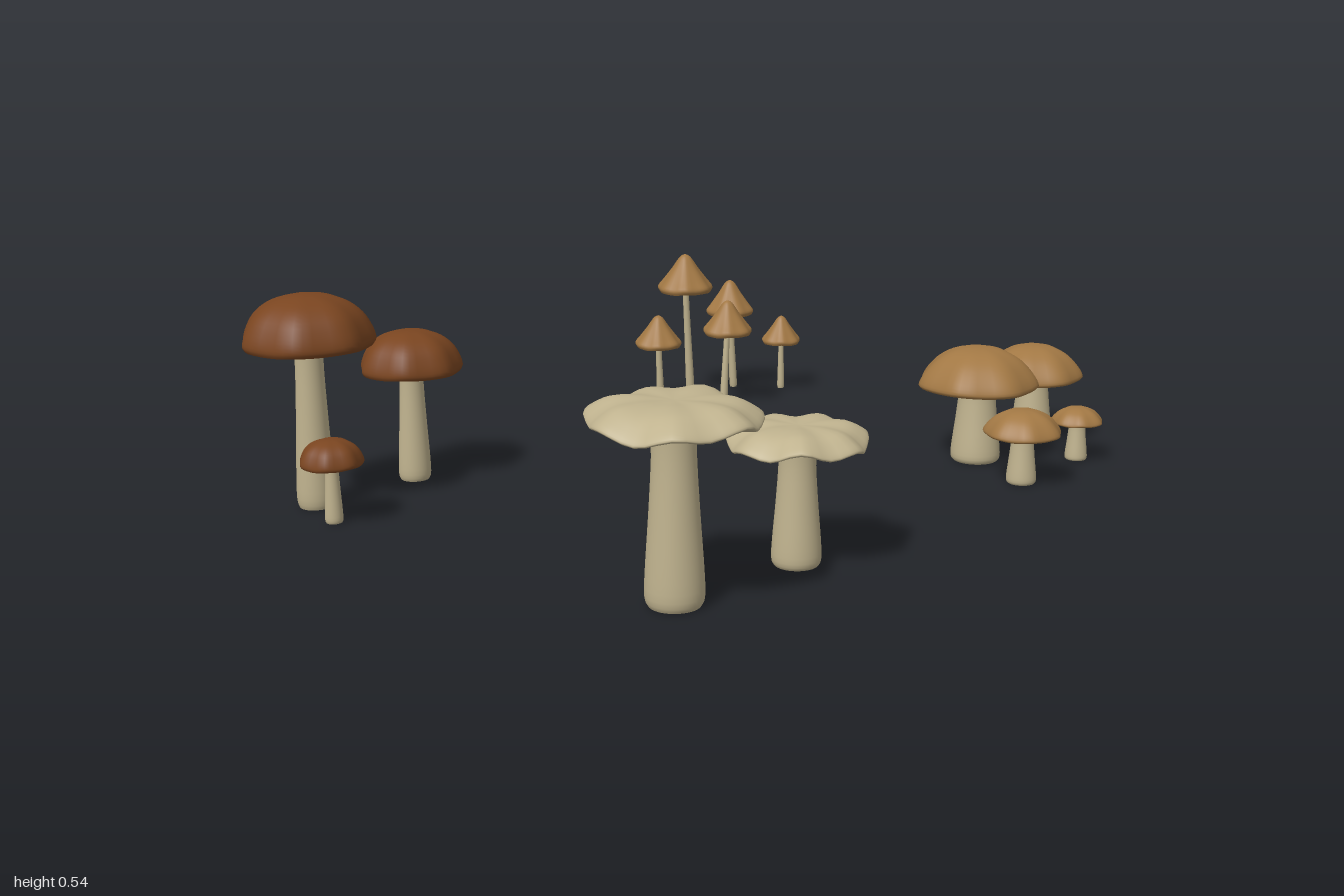
import * as THREE from 'three';
import { mergeVertices } from 'three/addons/utils/BufferGeometryUtils.js';

const material = (name, color) => {
  const m = new THREE.MeshStandardMaterial({ color });
  m.name = name;
  return m;
};

// Cap profiles from rim to crown: [fraction of radius, fraction of height]
const CAPS = {
  dome: [[0.96, 0], [1, 0.11], [0.95, 0.34], [0.82, 0.62], [0.6, 0.84], [0.3, 0.97], [0, 1]],
  cushion: [[0.96, 0], [1, 0.1], [0.91, 0.36], [0.71, 0.68], [0.45, 0.9], [0.2, 0.985], [0, 1]],
  plate: [[0.98, 0], [1, 0.12], [0.92, 0.42], [0.72, 0.86], [0.45, 1], [0.2, 0.98], [0, 0.95]],
  cone: [[0.94, 0], [1, 0.12], [0.8, 0.32], [0.48, 0.63], [0.2, 0.92], [0, 1]],
};
// Undersides from stem to rim
const GILLS = {
  dome: [[0, 0.14], [0.5, 0.1], [0.96, 0]],
  cushion: [[0, 0.14], [0.5, 0.1], [0.96, 0]],
  plate: [[0, -0.25], [0.5, -0.2], [0.98, 0]],
  cone: [[0, 0.2], [0.5, 0.14], [0.94, 0]],
};
// Stem from foot to top: [fraction of base radius, fraction of height]
const STEM = [[0.88, 0], [1, 0.05], [0.97, 0.2], [0.84, 0.5], [0.74, 0.8], [0.78, 1]];

// Turned surface whose vertices are moved by a rule, with a seamless smooth shade
function turned(profile, radius, height, steps, move) {
  const curve = new THREE.SplineCurve(profile.map(([r, h]) => new THREE.Vector2(r * radius, h * height)));
  const points = curve.getPoints(steps).map((p) => new THREE.Vector2(Math.max(0, p.x), p.y));
  let g = new THREE.LatheGeometry(points, 42);
  const pos = g.attributes.position;
  const v = new THREE.Vector3();
  for (let i = 0; i < pos.count; i++) {
    move(v.fromBufferAttribute(pos, i));
    pos.setXYZ(i, v.x, v.y, v.z);
  }
  g.deleteAttribute('uv');
  g.deleteAttribute('normal');
  g = mergeVertices(g, 1e-5);
  g.computeVertexNormals();
  return g;
}

function mushroom(kind, capMaterial, stemMaterial, gillMaterial, spec) {
  const [x, z, radius, rim, top, stemRadius, phase = 0, lean = 0] = spec;
  const group = new THREE.Group();
  group.name = 'mushroom';
  group.position.set(x, 0, z);

  // Seven soft corners around the cap, with a wavy brim on the flat kind
  const wave = kind === 'plate' ? 0.012 : 0.002;
  const lobes = (v) => {
    const a = Math.atan2(v.x, v.z);
    const f = Math.min(1, Math.hypot(v.x, v.z) / radius);
    const c = Math.cos(7 * a + phase);
    const s = 1 + 0.035 * c * f;
    v.x *= s;
    v.z *= s;
    v.y += wave * f * f * (0.7 * c + 0.5 * Math.sin(3 * a + phase + x * 5));
  };
  const add = (name, geometry, mat, y) => {
    const mesh = new THREE.Mesh(geometry, mat);
    mesh.name = name;
    mesh.position.y = y;
    group.add(mesh);
  };
  const height = top - rim;
  add('cap', turned(CAPS[kind], radius, height, 20, lobes), capMaterial, rim);
  add('gills', turned(GILLS[kind], radius, height, 8, lobes), gillMaterial, rim);

  // Stem, leaning from its foot, with a closed base
  const stemHeight = rim + height * 0.3;
  const tilt = (v) => { v.x += lean * (1 - v.y / stemHeight); };
  add('stem', turned(STEM, stemRadius, stemHeight, 14, tilt), stemMaterial, 0);
  const foot = new THREE.CircleGeometry(stemRadius * 0.88, 24).rotateX(Math.PI / 2).translate(lean, 0, 0);
  add('stemFoot', foot, stemMaterial, 0);
  return group;
}

export function createModel() {
  const russet = material('russetCap', 0x7a4520);
  const tan = material('tanCap', 0xa27844);
  const cream = material('creamFlesh', 0xbfb28e);

  // Each entry: x, z, cap radius, rim height, top height, stem radius, lobe phase, foot lean
  const clusters = [
    ['russetCluster', 'dome', russet, [
      [-0.83, -0.615, 0.16, 0.41, 0.54, 0.047],
      [-0.51, -0.605, 0.13, 0.29, 0.4, 0.042],
      [-0.89, -0.475, 0.076, 0.145, 0.21, 0.022],
    ]],
    ['paleCluster', 'plate', cream, [
      [-0.81, 0.535, 0.186, 0.4, 0.45, 0.065],
      [-0.44, 0.585, 0.158, 0.283, 0.328, 0.057],
    ]],
    ['tanCluster', 'cushion', tan, [
      [0.57, 0.46, 0.159, 0.205, 0.315, 0.067, Math.PI],
      [0.857, 0.475, 0.134, 0.18, 0.275, 0.058, Math.PI],
      [0.45, 0.668, 0.1, 0.13, 0.197, 0.039],
      [0.745, 0.675, 0.068, 0.103, 0.147, 0.03],
    ]],
    ['slenderCluster', 'cone', tan, [
      [0.635, -0.62, 0.083, 0.335, 0.452, 0.013, 0, 0.025],
      [0.815, -0.585, 0.073, 0.24, 0.35, 0.012, Math.PI, 0.02],
      [0.475, -0.595, 0.069, 0.19, 0.287, 0.012, 0, 0.01],
      [0.64, -0.457, 0.073, 0.22, 0.325, 0.012, 0, -0.02],
      [0.915, -0.455, 0.059, 0.147, 0.235, 0.011, 0, 0],
    ]],
  ];

  const model = new THREE.Group();
  model.name = 'mushrooms';
  for (const [name, kind, capMaterial, specs] of clusters) {
    const cluster = new THREE.Group();
    cluster.name = name;
    for (const spec of specs) cluster.add(mushroom(kind, capMaterial, cream, cream, spec));
    model.add(cluster);
  }
  return model;
}
